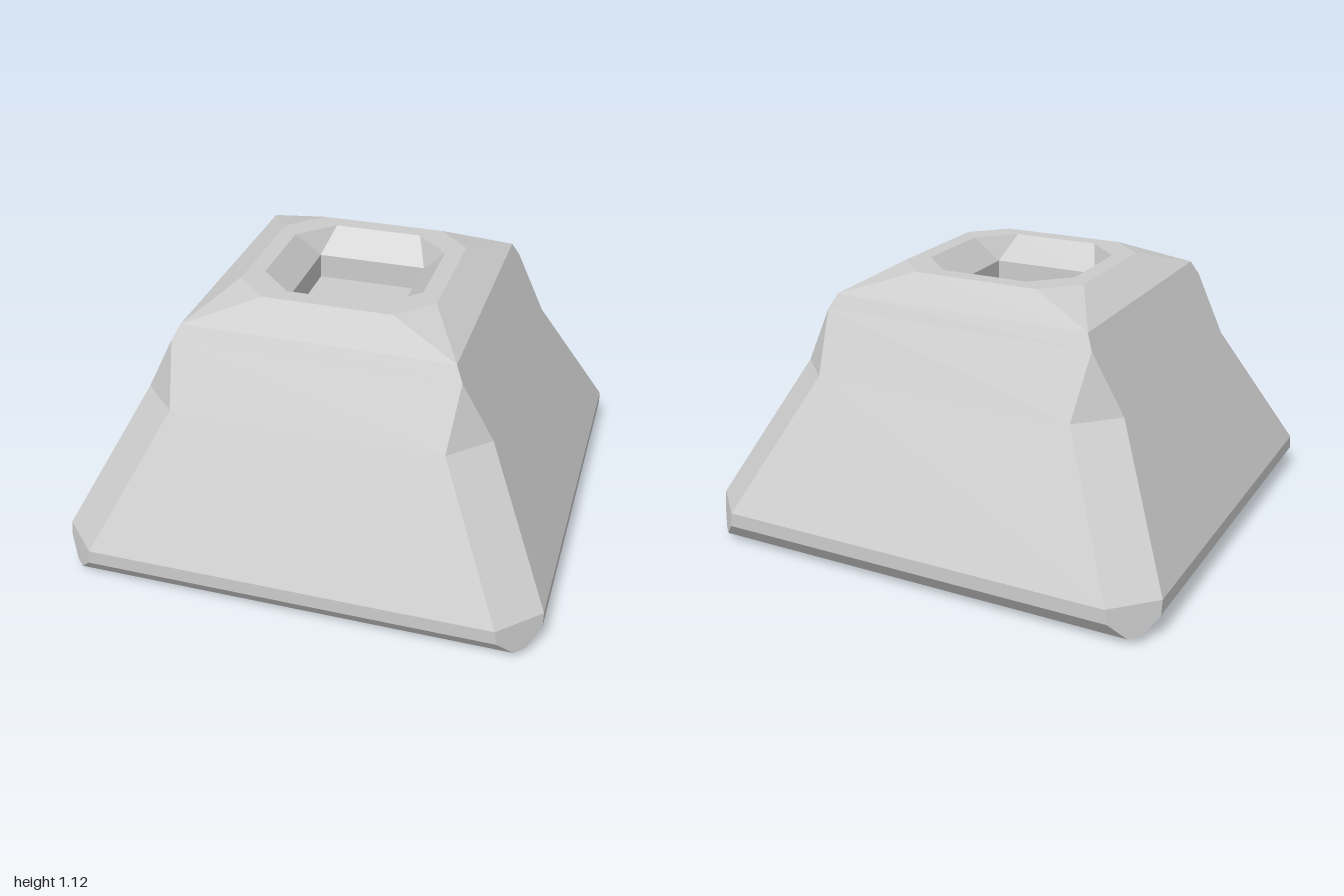
import * as THREE from 'three';

// Eight-sided ring: half width w, corner offset c (c = w gives a square)
function ring([y, w, c]) {
  return [[w, c], [c, w], [-c, w], [-w, c], [-w, -c], [-c, -w], [c, -w], [w, -c]]
    .map(([x, z]) => new THREE.Vector3(x, y, z));
}

// Joins successive rings with flat faces, skipping collapsed triangles
function loft(name, sections) {
  const points = [];
  const tri = (a, b, c) => {
    const area = b.clone().sub(a).cross(c.clone().sub(a)).length();
    if (area > 1e-6) points.push(a, b, c);
  };
  const rings = sections.map(ring);
  for (let i = 0; i < rings.length - 1; i++) {
    const a = rings[i], b = rings[i + 1];
    for (let j = 0; j < 8; j++) {
      const k = (j + 1) % 8;
      tri(a[j], b[j], b[k]);
      tri(a[j], b[k], a[k]);
    }
  }
  const geometry = new THREE.BufferGeometry().setFromPoints(points);
  geometry.computeVertexNormals();
  const mesh = new THREE.Mesh(geometry, new THREE.MeshStandardMaterial({ color: 0xcccccc, flatShading: true }));
  mesh.name = name;
  return mesh;
}

export function createModel() {
  const group = new THREE.Group();
  group.name = 'taperedBase';

  // Bevelled foot, from the underside centre outwards: [y, half width, corner]
  group.add(loft('foot', [
    [0, 0, 0], [0, 0.9, 0.89], [0.03, 0.95, 0.91], [0.1, 1, 0.85], [0.16, 1, 0.84],
  ]));

  // Sloping sides with corner cuts that end in a point below the shoulder
  group.add(loft('slopedBody', [
    [0.16, 1, 0.84], [0.72, 0.717, 0.563], [0.97, 0.59, 0.59], [1.03, 0.56, 0.56],
  ]));

  // Bevelled shoulder and flat rim around the opening
  group.add(loft('topRim', [
    [1.03, 0.56, 0.56], [1.12, 0.41, 0.27], [1.12, 0.335, 0.19],
  ]));

  // Socket: tapered mouth, straight walls and floor
  group.add(loft('socket', [
    [1.12, 0.335, 0.19], [1.015, 0.235, 0.235], [0.91, 0.235, 0.235], [0.91, 0, 0],
  ]));

  return group;
}
